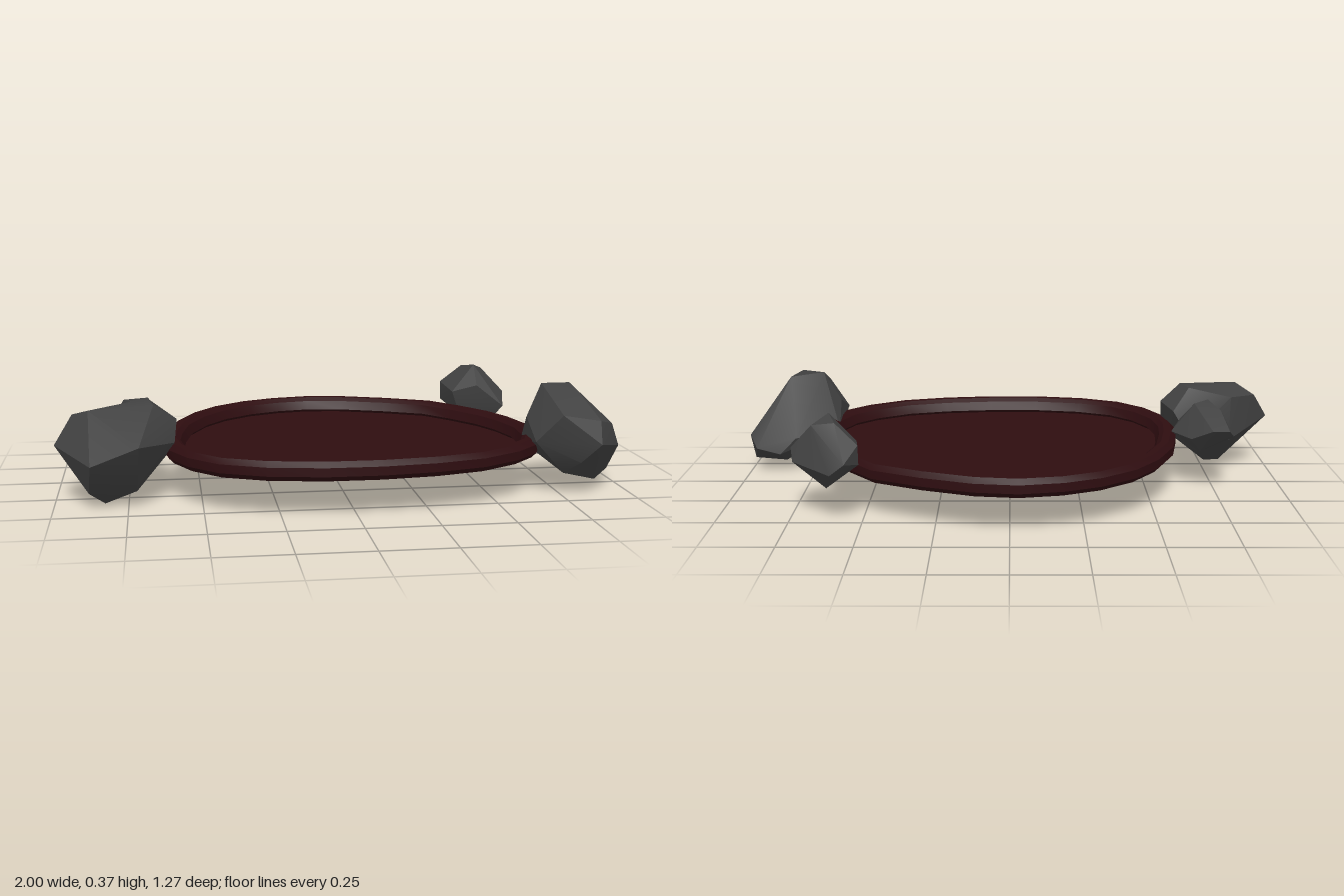
import * as THREE from 'three';
import { toCreasedNormals } from 'three/addons/utils/BufferGeometryUtils.js';
import { ConvexGeometry } from 'three/addons/geometries/ConvexGeometry.js';

// Plate outline as x, z pairs, from the back round by the +x side
const OUTLINE = [
  [-0.03, -0.64], [0.12, -0.62], [0.3, -0.55], [0.47, -0.46], [0.57, -0.33], [0.65, -0.2],
  [0.7, -0.07], [0.73, 0.08], [0.72, 0.24], [0.67, 0.37], [0.58, 0.47], [0.44, 0.56],
  [0.27, 0.61], [0.08, 0.635], [-0.11, 0.635], [-0.3, 0.6], [-0.45, 0.53], [-0.55, 0.42],
  [-0.61, 0.29], [-0.63, 0.15], [-0.62, 0.02], [-0.59, -0.15], [-0.52, -0.32], [-0.43, -0.45],
  [-0.31, -0.55], [-0.18, -0.61],
];

// Rim cross-section as inset, height pairs
const SECTION = [
  [0, 0.148], [0, 0.178], [0.018, 0.196], [0.045, 0.196],
  [0.062, 0.183], [0.075, 0.15], [0.055, 0.13], [0.018, 0.13],
];

// Corner points of each rock
const ROCKS = {
  rightFrontRock: [
    [-1, 0.2, 0.26], [-0.94, 0.295, 0.2], [-0.88, 0.325, 0.3], [-0.84, 0.3, 0.13],
    [-0.68, 0.335, 0.14], [-0.66, 0.33, 0.25], [-0.58, 0.27, 0.2], [-0.62, 0.25, 0.11],
    [-0.59, 0.2, 0.27], [-0.71, 0.23, 0.49], [-0.87, 0.17, 0.49], [-0.83, 0.005, 0.32],
    [-0.76, 0.025, 0.24], [-0.72, 0.06, 0.38], [-0.88, 0.06, 0.4], [-0.62, 0.14, 0.2],
    [-0.68, 0.15, 0.09], [-0.84, 0.13, 0.14],
  ],
  leftFrontRock: [
    [0.66, 0.16, 0.2], [0.65, 0.2, 0.43], [0.66, 0.26, 0.27], [0.72, 0.375, 0.24],
    [0.84, 0.367, 0.19], [0.82, 0.36, 0.36], [0.73, 0.3, 0.48], [0.86, 0.2, 0.51],
    [0.86, 0.28, 0.49], [0.92, 0.26, 0.43], [0.965, 0.17, 0.38], [1, 0.145, 0.16],
    [0.97, 0.1, 0.12], [0.88, 0.08, 0.11], [0.99, 0.045, 0.2], [0.87, 0.035, 0.2],
    [0.88, 0.05, 0.38], [0.76, 0.08, 0.4], [0.8, 0.13, 0.47], [0.82, 0.14, 0.12],
  ],
  rightBackRock: [
    [-0.79, 0.24, -0.17], [-0.73, 0.24, -0.17], [-0.66, 0.2, -0.12], [-0.6, 0.2, 0],
    [-0.64, 0.24, 0.05], [-0.69, 0.27, 0.07], [-0.81, 0.22, 0.06], [-0.82, 0.2, -0.09],
    [-0.74, 0.31, 0.05], [-0.68, 0.31, -0.02], [-0.77, 0.295, -0.07], [-0.75, 0.15, 0.03],
    [-0.7, 0.14, -0.07], [-0.66, 0.15, 0.03],
  ],
  leftBackRock: [
    [0.51, 0.2, -0.47], [0.51, 0.27, -0.48], [0.55, 0.22, -0.55], [0.6, 0.18, -0.54],
    [0.59, 0.34, -0.45], [0.62, 0.355, -0.36], [0.67, 0.33, -0.44], [0.75, 0.24, -0.39],
    [0.74, 0.2, -0.43], [0.72, 0.2, -0.27], [0.62, 0.28, -0.3], [0.53, 0.25, -0.34],
    [0.63, 0.1, -0.41], [0.67, 0.11, -0.34], [0.6, 0.14, -0.5], [0.56, 0.16, -0.34],
  ],
};

// Outline moved inwards along its own normals
function insetOutline(distance) {
  const n = OUTLINE.length;
  return OUTLINE.map(([x, z], i) => {
    const before = OUTLINE[(i + n - 1) % n], after = OUTLINE[(i + 1) % n];
    const t = new THREE.Vector2(after[0] - before[0], after[1] - before[1]).normalize();
    return [x - t.y * distance, z + t.x * distance];
  });
}

// Sweep the rim section round the outline
function rimGeometry() {
  const n = OUTLINE.length, m = SECTION.length;
  const positions = [], index = [];
  for (const [inset, y] of SECTION) {
    for (const [x, z] of insetOutline(inset)) positions.push(x, y, z);
  }
  for (let j = 0; j < m; j++) {
    for (let i = 0; i < n; i++) {
      const k = (i + 1) % n, up = ((j + 1) % m) * n;
      const a = j * n + i, b = j * n + k, c = up + k, d = up + i;
      index.push(a, d, c, a, c, b);
    }
  }
  const geometry = new THREE.BufferGeometry();
  geometry.setAttribute('position', new THREE.Float32BufferAttribute(positions, 3));
  geometry.setIndex(index);
  return toCreasedNormals(geometry, 0.5);
}

export function createModel() {
  const model = new THREE.Group();
  const darkRed = new THREE.MeshStandardMaterial({ color: 0x2e0d10, side: THREE.DoubleSide });
  darkRed.name = 'dark red';
  const stoneGrey = new THREE.MeshStandardMaterial({ color: 0x424242 });
  stoneGrey.name = 'stone grey';

  const add = (name, geometry, material) => {
    const mesh = new THREE.Mesh(geometry, material);
    mesh.name = name;
    model.add(mesh);
  };

  // Plate: flat floor inside a raised rim
  const shape = new THREE.Shape(insetOutline(0.06).map(([x, z]) => new THREE.Vector2(x, -z)));
  const floor = new THREE.ShapeGeometry(shape).rotateX(-Math.PI / 2).translate(0, 0.14, 0);
  add('plateFloor', floor, darkRed);
  add('plateRim', rimGeometry(), darkRed);

  // Rocks round the rim
  for (const [name, points] of Object.entries(ROCKS)) {
    const hull = new ConvexGeometry(points.map((p) => new THREE.Vector3(...p)));
    add(name, toCreasedNormals(hull, 0.5), stoneGrey);
  }
  return model;
}
